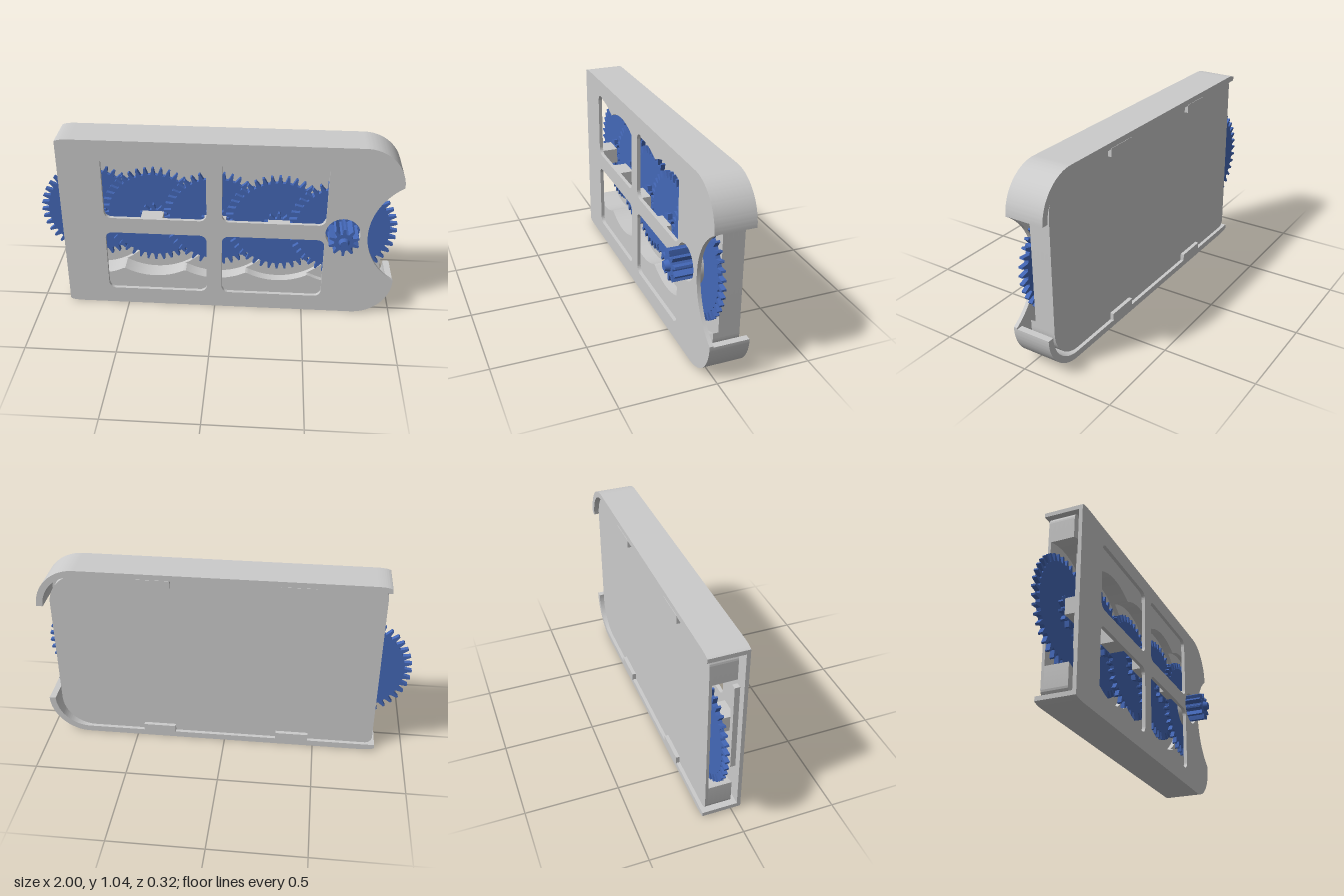
import * as THREE from 'three';
import { toCreasedNormals } from 'three/addons/utils/BufferGeometryUtils.js';

const H = 1.04, MID = 0.5225;            // case height, axle height
const X0 = -0.845, X1 = 1;               // case ends
const AXLES = [0.7, 0.35, 0, -0.35, -0.7];
const STEP = 0.0245, THICK = 0.025;      // each gear sits one step further back
const POCKET = 0.36;

const grey = new THREE.MeshStandardMaterial({ color: 0xcccccc });
const blue = new THREE.MeshStandardMaterial({ color: 0x4468b8 });

const gearFront = (k) => -k * STEP;
const floorZ = (k) => gearFront(k) - THICK - 0.003;

function add(group, name, geometry, material) {
  const mesh = new THREE.Mesh(geometry, material);
  mesh.name = name;
  group.add(mesh);
  return mesh;
}

// Extrude a shape between two z positions
function slab(shape, zBack, zFront) {
  const g = new THREE.ExtrudeGeometry(shape, { depth: zFront - zBack, bevelEnabled: false, curveSegments: 24 });
  g.translate(0, 0, zBack);
  return toCreasedNormals(g, 0.5);
}

function box(group, name, x0, x1, y0, y1, z0, z1) {
  const g = new THREE.BoxGeometry(x1 - x0, y1 - y0, z1 - z0);
  g.translate((x0 + x1) / 2, (y0 + y1) / 2, (z0 + z1) / 2);
  return add(group, name, g, grey);
}

function roundRect(path, x0, y0, x1, y1, r) {
  path.moveTo(x0 + r, y0);
  path.absarc(x1 - r, y0 + r, r, -Math.PI / 2, 0);
  path.absarc(x1 - r, y1 - r, r, 0, Math.PI / 2);
  path.absarc(x0 + r, y1 - r, r, Math.PI / 2, Math.PI);
  path.absarc(x0 + r, y0 + r, r, Math.PI, Math.PI * 1.5);
  return path;
}

function circle(x, y, r) {
  return new THREE.Path().absarc(x, y, r, 0, Math.PI * 2);
}

// Toothed wheel outline, with trapezoid teeth around the origin
function gearGeometry(teeth, root, tip, zBack, zFront, phase = 0) {
  const pitch = (Math.PI * 2) / teeth;
  const profile = [[-0.32, root], [-0.2, (root + tip) / 2], [-0.11, tip], [0.11, tip], [0.2, (root + tip) / 2], [0.32, root]];
  const points = [];
  for (let i = 0; i < teeth; i++) {
    for (const [t, r] of profile) {
      const a = (i + t + phase) * pitch;
      points.push(new THREE.Vector2(r * Math.cos(a), r * Math.sin(a)));
    }
  }
  return slab(new THREE.Shape(points), zBack, zFront);
}

function rod(r0, r1, zBack, zFront) {
  const g = new THREE.CylinderGeometry(r1, r0, zFront - zBack, 24);
  g.rotateX(Math.PI / 2);
  g.translate(0, 0, (zBack + zFront) / 2);
  return g;
}

// Case: windowed face, two hooked walls, clips and axle stops
function makeCase() {
  const group = new THREE.Group();
  group.name = 'case';
  const R = 0.22, half = Math.PI / 2;

  const face = new THREE.Shape();
  face.moveTo(X0, 0.012);
  face.quadraticCurveTo(X0 + 0.02, 0, X0 + 0.08, 0);
  face.absarc(X1 - R, R, R, -half, 0);
  const nx = 1.18, nr = 0.346, na = Math.acos((nx - X1) / nr);
  face.absarc(nx, MID, nr, Math.PI + na, Math.PI - na, true);
  face.absarc(X1 - R, H - R, R, 0, half);
  face.lineTo(X0 + 0.08, H);
  face.quadraticCurveTo(X0 + 0.02, H, X0, H - 0.012);
  for (const cx of [-0.3275, 0.3225]) {
    for (const [y0, y1] of [[0.1, 0.477], [0.57, 0.947]]) {
      face.holes.push(roundRect(new THREE.Path(), cx - 0.2825, y0, cx + 0.2825, y1, 0.04));
    }
  }
  face.holes.push(circle(AXLES[0], MID, 0.095));
  add(group, 'frontFace', slab(face, 0.03, 0.05), grey);

  // Walls, top and bottom
  const W = 0.035;
  for (const top of [true, false]) {
    const s = top ? 1 : -1;
    const y = (d) => (top ? H - d : d);      // d = distance in from the edge
    const wall = new THREE.Shape();
    wall.moveTo(X0, y(0.012));
    wall.quadraticCurveTo(X0 + 0.02, y(0), X0 + 0.08, y(0));
    wall.absarc(X1 - R, y(R), R, s * half, 0, top);
    wall.lineTo(X1 - W, y(R));
    wall.absarc(X1 - R, y(R), R - W, 0, s * half, !top);
    wall.lineTo(X0, y(W));
    const side = top ? 'top' : 'bottom';
    add(group, side + 'Wall', slab(wall, -0.16, 0.03), grey);
    // Snap clips holding the tray
    for (const cx of [-0.38, 0.37]) {
      const ys = [y(W - 0.005), y(0.075)].sort((a, b) => a - b);
      box(group, side + 'Clip', cx - 0.09, cx + 0.09, ys[0], ys[1], -0.162, -0.141);
    }
  }

  // Collar around the input opening
  const collar = new THREE.Shape().absarc(AXLES[0], MID, 0.115, 0, Math.PI * 2);
  collar.holes.push(circle(AXLES[0], MID, 0.095));
  add(group, 'inputCollar', slab(collar, 0.003, 0.03), grey);

  // Stops behind the cross bar keep each gear in place
  for (let k = 1; k < AXLES.length; k++) {
    const x = AXLES[k];
    box(group, 'gearStop', x - 0.06, x + 0.06, MID - 0.045, MID + 0.045, gearFront(k - 1) + 0.002, 0.03);
  }
  // Stiffening rib beside the open end
  box(group, 'endRib', -0.8, -0.77, 0.265, 0.78, 0.002, 0.03);
  return group;
}

// Tray: back plate with layered, stepped round pockets, one per gear
function makeTray() {
  const group = new THREE.Group();
  group.name = 'tray';
  const L = -0.83, R = 0.93, top = 0.487, rR = 0.18, rL = 0.04;
  const halfLayer = (s, centres) => {
    const shape = new THREE.Shape();
    const N = 160;
    for (let i = 0; i <= N; i++) {
      const x = L + ((R - L) * i) / N;
      let h = 0;
      for (const c of centres) h = Math.max(h, Math.sqrt(Math.max(0, POCKET ** 2 - (x - c) ** 2)));
      if (i === 0) shape.moveTo(x, MID + s * h);
      else shape.lineTo(x, MID + s * h);
    }
    const yc = (r) => MID + s * (top - r);
    shape.absarc(R - rR, yc(rR), rR, 0, (s * Math.PI) / 2, s < 0);
    shape.absarc(L + rL, yc(rL), rL, (s * Math.PI) / 2, s * Math.PI, s < 0);
    return shape;
  };
  const last = AXLES.length - 1;
  for (const s of [1, -1]) {
    add(group, 'backPlate', slab(halfLayer(s, []), -0.141, floorZ(last)), grey);
    for (let k = 0; k <= last; k++) {
      const zFront = k === 0 ? 0 : floorZ(k - 1);
      add(group, 'pocketLayer', slab(halfLayer(s, AXLES.slice(k)), floorZ(k), zFront), grey);
    }
  }
  return group;
}

// Compound gears: large wheel with a pinion on its front
function makeGears() {
  const train = new THREE.Group();
  train.name = 'gearTrain';
  AXLES.forEach((x, k) => {
    const gear = new THREE.Group();
    gear.name = k === 0 ? 'inputGear' : 'reductionGear';
    gear.position.set(x, MID, 0);
    const f = gearFront(k);
    add(gear, 'wheel', gearGeometry(40, 0.258, 0.297, f - THICK + 0.001, f), blue);
    const pinionFront = k === 0 ? 0.138 : f + STEP;
    add(gear, 'pinion', gearGeometry(10, 0.052, 0.083, f, pinionFront, 0.5), blue);
    if (k === 0) add(gear, 'shaftTip', rod(0.03, 0.022, pinionFront, 0.163), blue);
    train.add(gear);
  });
  return train;
}

export function createModel() {
  const model = new THREE.Group();
  model.name = 'gearbox';
  model.add(makeCase(), makeTray(), makeGears());
  return model;
}
